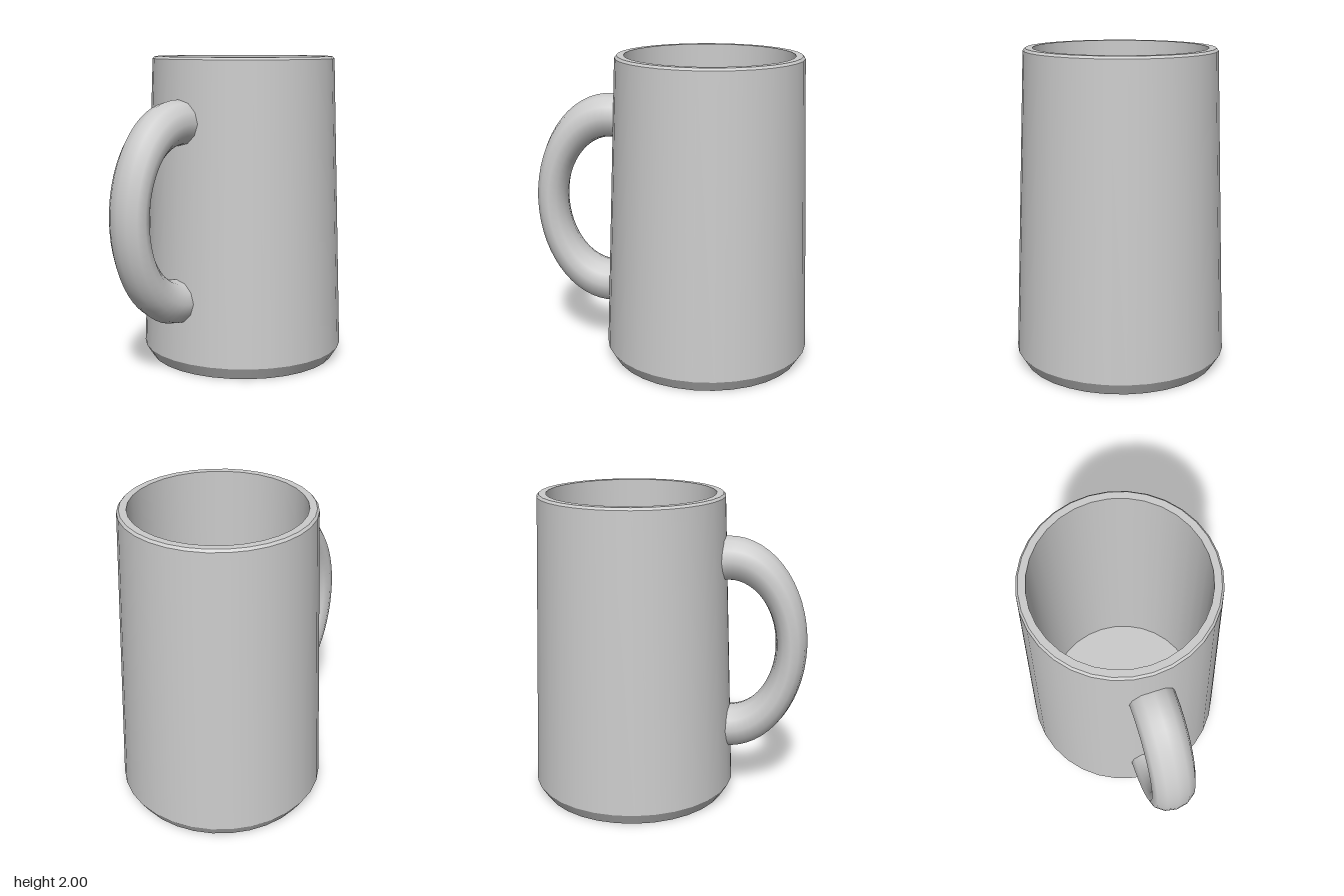
import * as THREE from 'three';

const AXIS_Z = -0.235; // the cup sits behind the handle
const material = new THREE.MeshStandardMaterial({ color: 0xcccccc });

// One ring of surface between two [radius, height] points; separate rings keep the edges sharp
function band(name, from, to) {
  const points = [from, to].map(([r, y]) => new THREE.Vector2(r, y));
  const mesh = new THREE.Mesh(new THREE.LatheGeometry(points, 32), material);
  mesh.name = name;
  return mesh;
}

export function createModel() {
  const model = new THREE.Group();
  model.name = 'mug';

  // Tapered cup, listed from the centre of the base up the outside and down the inside
  const cup = new THREE.Group();
  cup.name = 'cup';
  cup.position.z = AXIS_Z;
  const profile = [[0, 0], [0.615, 0], [0.665, 0.08], [0.595, 1.985], [0.582, 2], [0.537, 2], [0.535, 0.1], [0, 0.1]];
  const names = ['base', 'baseBevel', 'outerWall', 'rimBevel', 'rim', 'innerWall', 'cupFloor'];
  names.forEach((name, i) => cup.add(band(name, profile[i], profile[i + 1])));
  model.add(cup);

  // Handle: a little over half a ring, flattened front to back, ends sunk into the wall
  const extra = 0.14;
  const arc = Math.PI + 2 * extra;
  const ring = new THREE.TorusGeometry(0.565, 0.142, 12, 32, arc);
  ring.rotateZ(-arc / 2);
  ring.rotateY(-Math.PI / 2);
  ring.scale(1, 1, 0.71);
  const handle = new THREE.Mesh(ring, material);
  handle.name = 'handle';
  handle.position.set(0, 1.035, 0.4);
  model.add(handle);

  return model;
}
